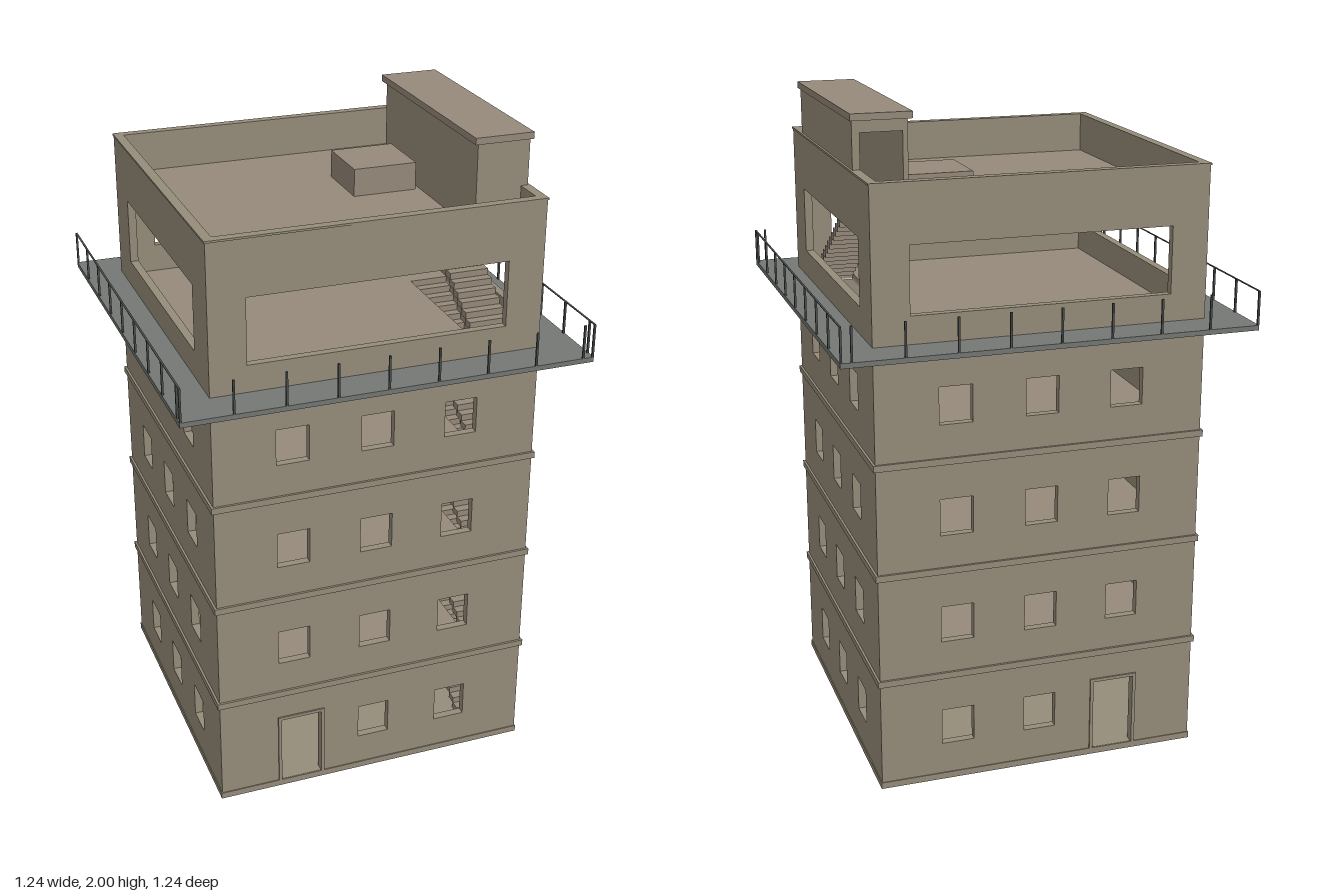
import * as THREE from 'three';

const mat = (name, color) => {
  const m = new THREE.MeshStandardMaterial({ color });
  m.name = name;
  return m;
};

export function createModel() {
  const root = new THREE.Group();
  root.name = 'tower';
  const wallMat = mat('wall plaster', 0x968d7b);
  const floorMat = mat('floor concrete', 0x968a7a);
  const ceilingMat = mat('ceiling paint', 0xcfcdcb);
  const deckMat = mat('balcony deck', 0x747774);
  const railMat = mat('railing metal', 0x4a4d4d);

  const group = (name, parent = root) => {
    const g = new THREE.Group();
    g.name = name;
    parent.add(g);
    return g;
  };
  // box given by its min and max on each axis
  const box = (name, m, [x0, x1], [y0, y1], [z0, z1], parent = root) => {
    const mesh = new THREE.Mesh(new THREE.BoxGeometry(x1 - x0, y1 - y0, z1 - z0), m);
    mesh.position.set((x0 + x1) / 2, (y0 + y1) / 2, (z0 + z1) / 2);
    mesh.name = name;
    parent.add(mesh);
  };
  const trace = (p, [x0, x1], [y0, y1]) => {
    p.moveTo(x0, y0);
    p.lineTo(x1, y0);
    p.lineTo(x1, y1);
    p.lineTo(x0, y1);
    p.closePath();
    return p;
  };
  // rectangular plate with rectangular holes
  const plate = (xr, yr, holes, depth) => {
    const s = trace(new THREE.Shape(), xr, yr);
    holes.forEach(h => s.holes.push(trace(new THREE.Path(), h[0], h[1])));
    return new THREE.ExtrudeGeometry(s, { depth, bevelEnabled: false });
  };
  // horizontal plate: holes given as x and z ranges
  const slab = (name, m, half, holes, y0, thick) => {
    const flat = holes.map(([x, z]) => [x, [-z[1], -z[0]]]);
    const geo = plate([-half, half], [-half, half], flat, thick).rotateX(-Math.PI / 2);
    const mesh = new THREE.Mesh(geo, m);
    mesh.position.y = y0;
    mesh.name = name;
    root.add(mesh);
  };

  const T = 0.025, STOREY = 0.34, FLOOR = 0.02;
  const DOOR = [[-0.305, -0.175], [0.021, 0.25]];

  // walls with windows, doors and the open top storey
  const holesFor = (withDoor, wide) => {
    const holes = [];
    for (let f = 0; f < 4; f++) {
      for (const c of [-0.26, 0, 0.26]) {
        if (withDoor && f === 0 && c < 0) holes.push(DOOR);
        else holes.push([[c - 0.05, c + 0.05], [0.12 + f * STOREY, 0.233 + f * STOREY]]);
      }
    }
    holes.push([[-wide, wide], [1.467, 1.667]]);
    return holes;
  };
  const walls = group('walls');
  const faceGeo = plate([-0.5, 0.5], [FLOOR, 1.84], holesFor(true, 0.39), T);
  const sideGeo = plate([-0.5 + T, 0.5 - T], [FLOOR, 1.84], holesFor(false, 0.36), T).rotateY(Math.PI / 2);
  const addWall = (name, geo, x, z) => {
    const mesh = new THREE.Mesh(geo, wallMat);
    mesh.position.set(x, 0, z);
    mesh.name = name;
    walls.add(mesh);
  };
  addWall('frontWall', faceGeo, 0, 0.5 - T);
  addWall('backWall', faceGeo, 0, -0.5);
  addWall('leftWall', sideGeo, 0.5 - T, 0);
  addWall('rightWall', sideGeo, -0.5, 0);

  // door frames
  const [[dx0, dx1], [dy0, dy1]] = DOOR;
  for (const s of [-1, 1]) {
    const z = s > 0 ? [0.49, 0.505] : [-0.505, -0.49];
    const frame = group('doorFrame');
    box('frameJamb', wallMat, [dx0 - 0.01, dx0], [dy0, dy1 + 0.01], z, frame);
    box('frameJamb', wallMat, [dx1, dx1 + 0.01], [dy0, dy1 + 0.01], z, frame);
    box('frameHead', wallMat, [dx0, dx1], [dy1, dy1 + 0.01], z, frame);
  }

  // base, string courses and parapet coping
  box('base', wallMat, [-0.503, 0.503], [0, FLOOR], [-0.503, 0.503]);
  const ring = h => [[[-h, h], [-h, h]]];
  for (let f = 1; f < 4; f++) slab('stringCourse', wallMat, 0.507, ring(0.499), f * STOREY, 0.02);
  slab('coping', wallMat, 0.503, ring(0.474), 1.836, 0.006);

  // storey floors with a stairwell, pale ceilings below them, and the stairs
  const well = [[[0.35, 0.474], [-0.14, 0.365]]];
  for (let f = 0; f < 5; f++) {
    const y = FLOOR + f * STOREY;
    slab(f === 4 ? 'roofDeck' : 'floor', floorMat, 0.475, well, y + STOREY - 0.015, 0.015);
    slab('ceiling', ceilingMat, 0.475, well, y + STOREY - 0.02, 0.005);
    const flight = group('stairs');
    for (let k = 1; k <= 17; k++) {
      const z = 0.405 - 0.03 * k;
      box('step', floorMat, [0.35, 0.474], [y + 0.02 * (k - 1), y + 0.02 * k], [z - 0.035, z], flight);
    }
  }

  // stair house on the roof, open towards the back
  const house = group('stairHouse');
  const hy = [1.72, 1.98];
  box('innerWall', wallMat, [0.335, 0.35], hy, [-0.3, 0.38], house);
  box('outerWall', wallMat, [0.474, 0.496], hy, [-0.3, 0.38], house);
  box('endWall', wallMat, [0.35, 0.474], hy, [0.365, 0.38], house);
  box('lintel', wallMat, [0.35, 0.474], [1.945, 1.98], [-0.3, -0.28], house);
  box('houseRoof', floorMat, [0.323, 0.503], [1.98, 2], [-0.313, 0.39], house);
  box('roofBox', floorMat, [0.12, 0.32], [1.72, 1.805], [-0.22, -0.02]);

  // balcony deck around the top storey
  slab('balcony', deckMat, 0.618, ring(0.499), 1.37, 0.015);

  // railing posts on four edges, thin handrails on two
  const railing = group('railing');
  const R = 0.615, w = 0.003, py = [1.385, 1.487];
  const post = (x, z) => box('post', railMat, [x - w, x + w], py, [z - w, z + w], railing);
  for (const s of [-1, 1]) {
    for (let i = 0; i < 9; i++) {
      post(-R + 0.15 * i, s * R);
      if (i > 0) post(s * R, -R + 0.15 * i);
    }
    post(R, s * R);
    box('handrail', railMat, [s * R - w, s * R + w], [1.485, 1.487], [-R, R], railing);
  }
  return root;
}
